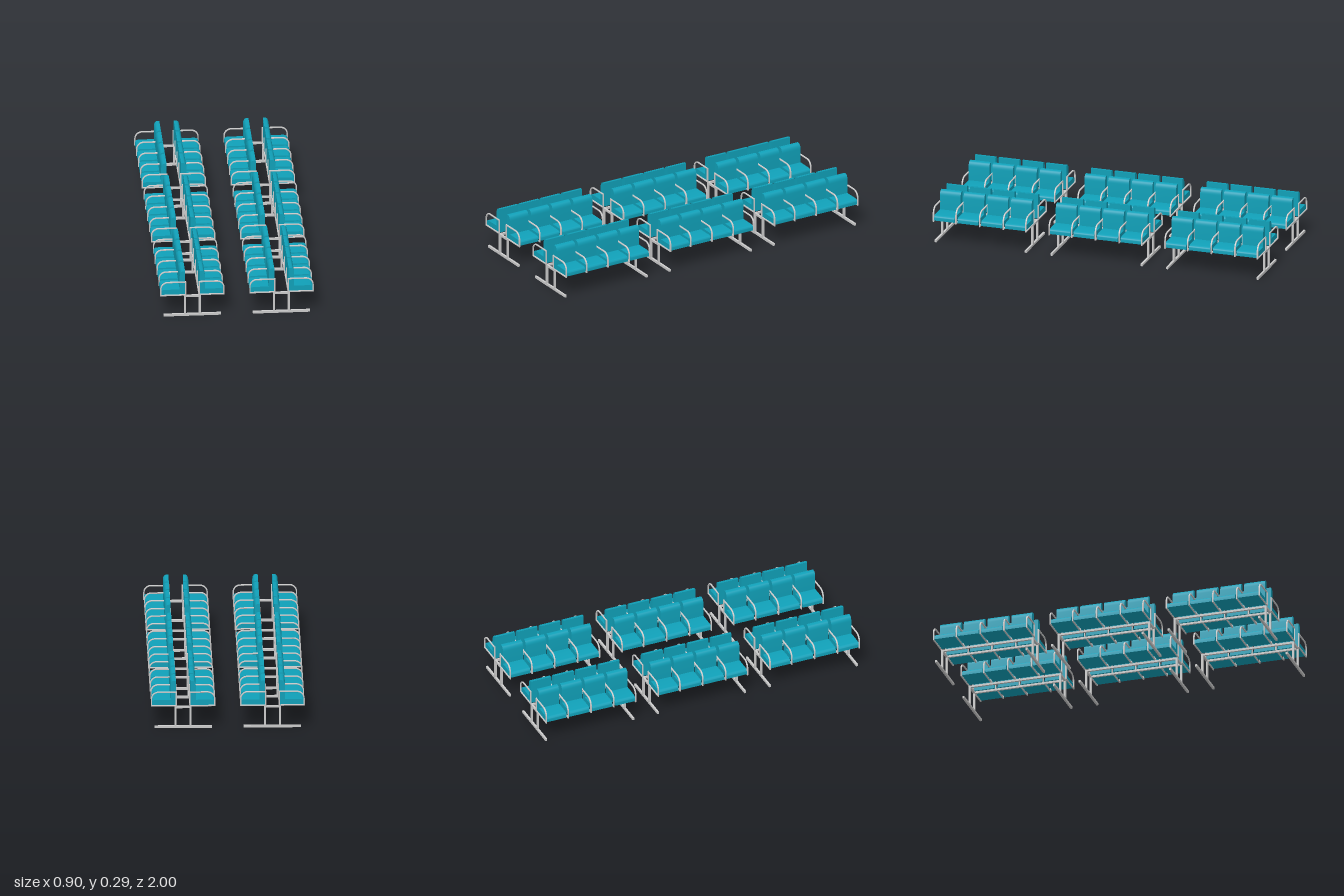
import * as THREE from 'three';
import { toCreasedNormals } from 'three/addons/utils/BufferGeometryUtils.js';

const PITCH = 0.1455, SEAT_W = 0.127, BENCH_HALF = 0.2885;
const metal = new THREE.MeshStandardMaterial({ color: 0xcccccc });
const fabric = new THREE.MeshStandardMaterial({ color: 0x10a0b8 });

// Extrude a profile drawn in x/y, centred on z
function extrude(shape, width, bevel = 0) {
  const g = new THREE.ExtrudeGeometry(shape, {
    depth: width - 2 * bevel, curveSegments: 6, bevelEnabled: bevel > 0,
    bevelSize: bevel, bevelThickness: bevel, bevelOffset: -bevel, bevelSegments: 2,
  });
  g.translate(0, 0, -width / 2 + bevel);
  return toCreasedNormals(g, 0.7);
}

// L-shaped upholstery: cushion and upright back in one profile
function seatGeometry() {
  const s = new THREE.Shape();
  s.moveTo(0.042, 0.14);
  s.lineTo(0.184, 0.14);
  s.lineTo(0.184, 0.158);
  s.quadraticCurveTo(0.183, 0.17, 0.162, 0.172);
  s.lineTo(0.074, 0.172);
  s.lineTo(0.074, 0.256);
  s.bezierCurveTo(0.074, 0.274, 0.066, 0.288, 0.054, 0.288);
  s.lineTo(0.042, 0.288);
  s.closePath();
  return extrude(s, SEAT_W);
}

// Loop with two square corners at the back and a rounded upper front corner
function loopPath(path, x0, x1, y0, y1, r) {
  path.moveTo(x0, y0);
  path.lineTo(x1, y0);
  path.lineTo(x1, y1 - r);
  path.absarc(x1 - r, y1 - r, r, 0, Math.PI / 2, false);
  path.lineTo(x0, y1);
  path.closePath();
  return path;
}

function armGeometry() {
  const t = 0.008;
  const s = loopPath(new THREE.Shape(), 0.036, 0.188, 0.133, 0.224, 0.045);
  s.holes.push(loopPath(new THREE.Path(), 0.036 + t, 0.188 - t, 0.133 + t, 0.224 - t, 0.045 - t));
  return extrude(s, 0.009, 0.0025);
}

function add(parent, name, geometry, material, x = 0, y = 0, z = 0) {
  const m = new THREE.Mesh(geometry, material);
  m.name = name;
  m.position.set(x, y, z);
  parent.add(m);
  return m;
}

const box = (w, h, d) => new THREE.BoxGeometry(w, h, d);

export function createModel() {
  const model = new THREE.Group();
  model.name = 'waitingSeats';
  const seat = seatGeometry(), arm = armGeometry();
  const foot = box(0.334, 0.014, 0.012), leg = box(0.012, 0.119, 0.012);
  const crossbar = box(0.074, 0.012, 0.012), rail = box(0.012, 0.012, 2 * BENCH_HALF - 0.012);
  const armZ = [-0.284, -PITCH, 0, PITCH, 0.284];

  // One row of four seats facing outward along +x
  function seatRow() {
    const row = new THREE.Group();
    row.name = 'seatRow';
    for (let i = 0; i < 4; i++) add(row, 'seat', seat, fabric, 0, 0, (i - 1.5) * PITCH);
    for (const z of armZ) add(row, 'armrest', arm, metal, 0, 0, z);
    add(row, 'seatRail', rail, metal, 0.043, 0.127, 0);
    return row;
  }

  // Two rows back to back on a shared stand
  function bench() {
    const b = new THREE.Group();
    b.name = 'doubleBench';
    const right = seatRow();
    right.rotation.y = Math.PI;
    b.add(seatRow(), right);
    for (const z of [-0.277, 0.277]) {
      add(b, 'foot', foot, metal, 0, 0.007, z);
      add(b, 'crossbar', crossbar, metal, 0, 0.127, z);
      for (const x of [-0.043, 0.043]) add(b, 'leg', leg, metal, x, 0.0735, z);
    }
    return b;
  }

  // Two aisles of three benches
  for (const x of [-0.26, 0.26]) {
    for (const z of [-0.7115, 0, 0.7115]) {
      const b = bench();
      b.position.set(x, 0, z);
      model.add(b);
    }
  }
  return model;
}
